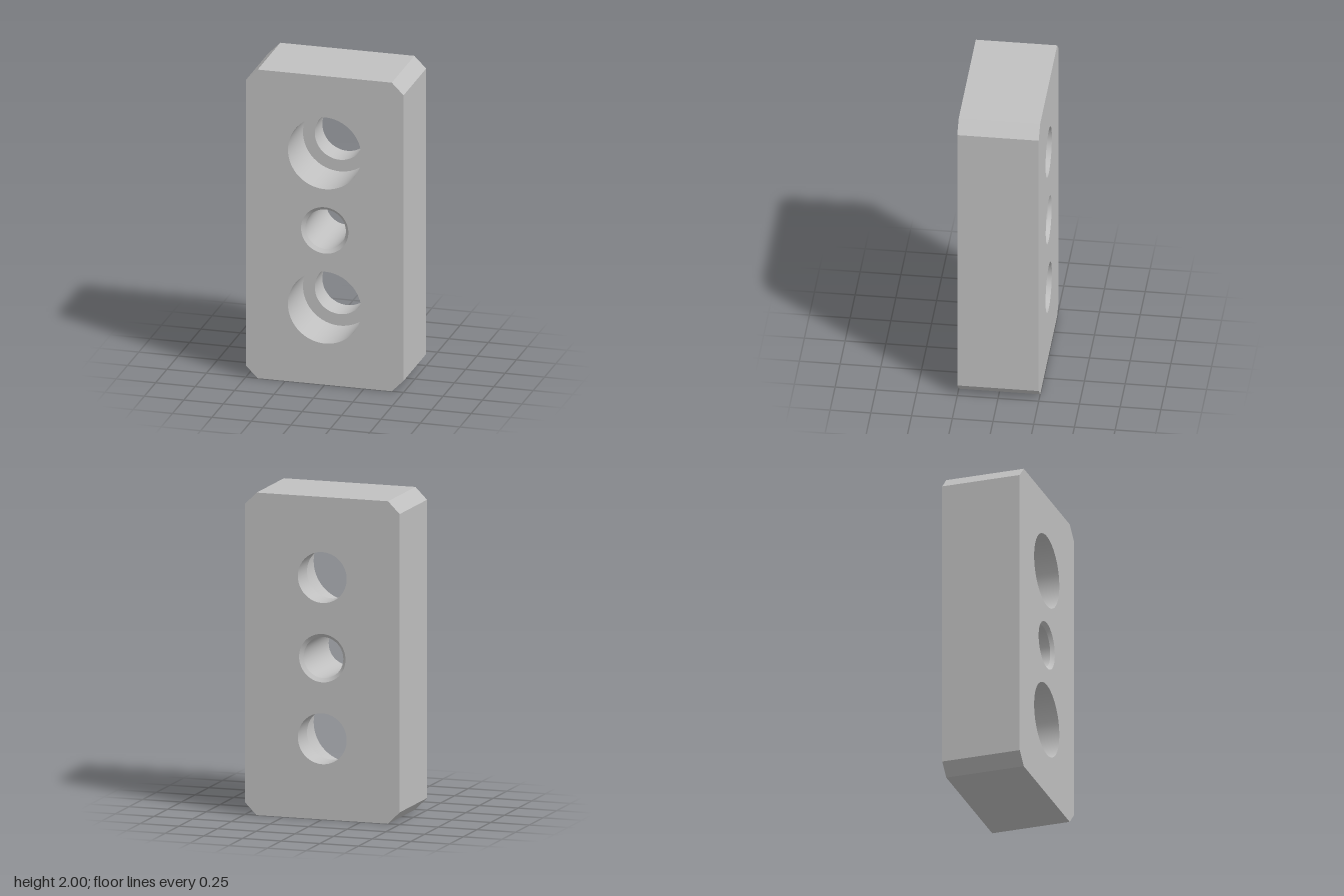
import * as THREE from 'three';

const W = 0.5, H = 2, D = 0.25, C = 0.075; // half width, height, half depth, corner chamfer
const SEG = 64;

// Outline of the block, anticlockwise from the lower left
const outline = [
  [-W + C, 0], [W - C, 0], [W, C], [W, H - C],
  [W - C, H], [-W + C, H], [-W, H - C], [-W, C],
].map(([x, y]) => new THREE.Vector2(x, y));

// Bore profiles as [radius, z], running from front to back
const counterbore = [[0.233, D], [0.233, -0.083], [0.158, -0.083], [0.158, -D]];
const pinBore = [[0.15, D], [0.128, D - 0.022], [0.128, -D + 0.022], [0.15, -D]];
const bores = [
  { name: 'upperCounterbore', y: 1.5, profile: counterbore },
  { name: 'centreBore', y: 1, profile: pinBore },
  { name: 'lowerCounterbore', y: 0.5, profile: counterbore },
];

// Flat face with one round opening per bore
function faceGeometry(radiusOf) {
  const shape = new THREE.Shape(outline);
  for (const b of bores) {
    const hole = new THREE.Path();
    hole.absarc(0, b.y, radiusOf(b.profile), 0, Math.PI * 2, true);
    shape.holes.push(hole);
  }
  return new THREE.ShapeGeometry(shape, SEG / 2);
}

// Flat outer walls, one quad for each outline edge
function wallGeometry() {
  const pos = [];
  outline.forEach((a, i) => {
    const b = outline[(i + 1) % outline.length];
    pos.push(a.x, a.y, D, a.x, a.y, -D, b.x, b.y, -D);
    pos.push(a.x, a.y, D, b.x, b.y, -D, b.x, b.y, D);
  });
  const geo = new THREE.BufferGeometry();
  geo.setAttribute('position', new THREE.Float32BufferAttribute(pos, 3));
  geo.computeVertexNormals();
  return geo;
}

export function createModel() {
  const group = new THREE.Group();
  group.name = 'drilledBlock';
  const grey = new THREE.MeshStandardMaterial({ color: 0xc0c0c0 });
  grey.name = 'light grey';

  const add = (parent, name, geo) => {
    const mesh = new THREE.Mesh(geo, grey);
    mesh.name = name;
    parent.add(mesh);
    return mesh;
  };

  // Block faces and walls
  add(group, 'frontFace', faceGeometry(p => p[0][0])).position.z = D;
  const back = add(group, 'backFace', faceGeometry(p => p[p.length - 1][0]));
  back.rotation.y = Math.PI;
  back.position.z = -D;
  add(group, 'outerWalls', wallGeometry());

  // Bores: a separate lathe for each step keeps the edges sharp
  for (const { name, y, profile } of bores) {
    const bore = new THREE.Group();
    bore.name = name;
    bore.position.y = y;
    for (let i = 0; i < profile.length - 1; i++) {
      const pts = [profile[i], profile[i + 1]].map(p => new THREE.Vector2(...p));
      add(bore, 'boreStep' + (i + 1), new THREE.LatheGeometry(pts, SEG).rotateX(Math.PI / 2));
    }
    group.add(bore);
  }
  return group;
}
